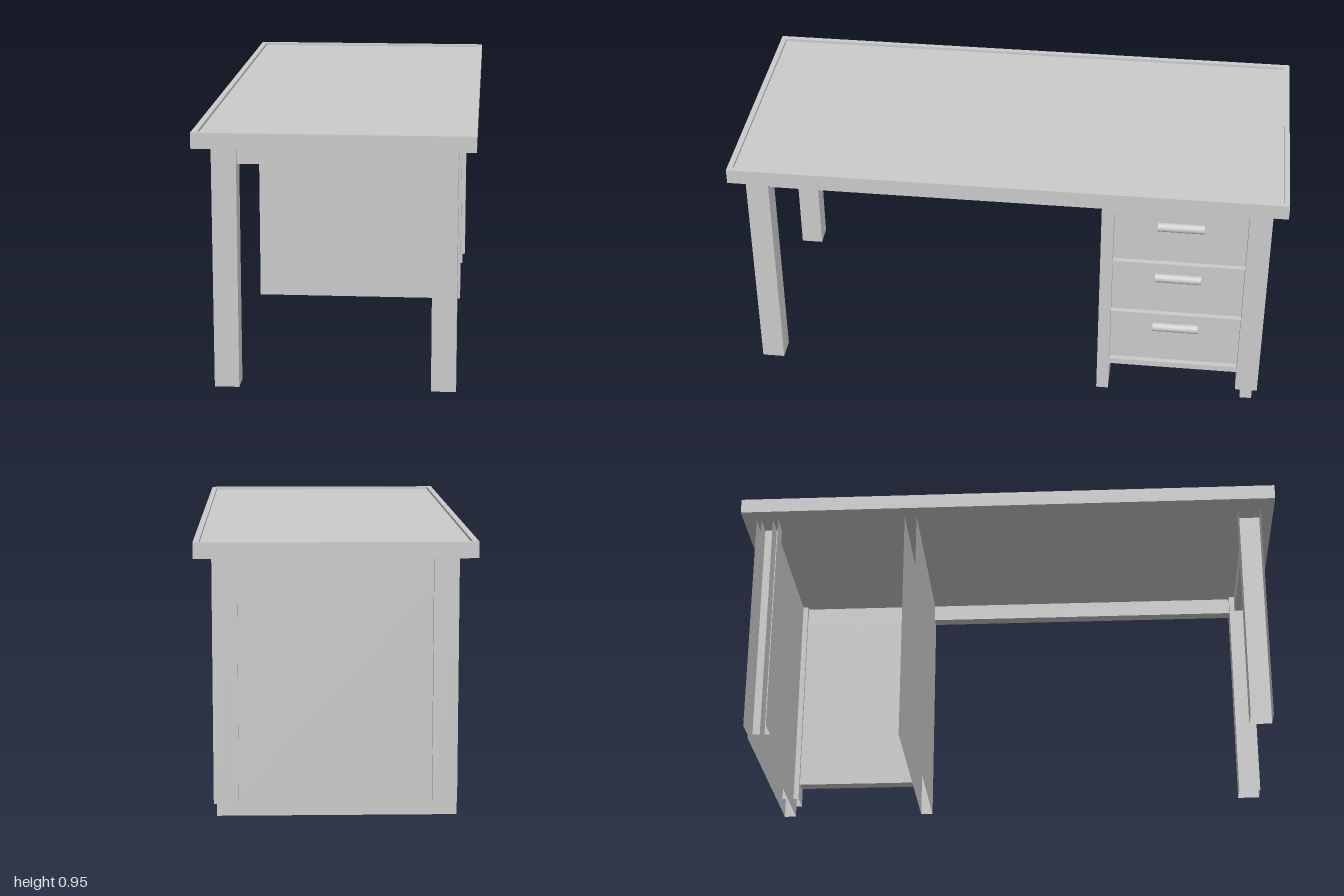
import * as THREE from 'three';

export function createModel() {
  const desk = new THREE.Group();
  desk.name = 'desk';
  const mat = new THREE.MeshStandardMaterial({ color: 0xcccccc, side: THREE.DoubleSide, flatShading: true });
  const smooth = new THREE.MeshStandardMaterial({ color: 0xcccccc });

  // Box from its limits; "open" lists faces left out (0 +x, 1 -x, 2 +y, 3 -y, 4 +z, 5 -z)
  function box(name, [x0, x1], [y0, y1], [z0, z1], open = []) {
    const g = new THREE.BoxGeometry(x1 - x0, y1 - y0, z1 - z0);
    const index = Array.from(g.index.array).filter((_, i) => !open.includes(Math.floor(i / 6)));
    g.setIndex(index);
    g.clearGroups();
    const m = new THREE.Mesh(g, mat);
    m.name = name;
    m.position.set((x0 + x1) / 2, (y0 + y1) / 2, (z0 + z1) / 2);
    desk.add(m);
    return m;
  }

  // Table top: raised rim around a slightly sunken surface
  const rect = (target, w, d) => target.moveTo(-w, -d).lineTo(w, -d).lineTo(w, d).lineTo(-w, d).closePath();
  const rimShape = rect(new THREE.Shape(), 0.475, 1);
  rimShape.holes.push(rect(new THREE.Path(), 0.455, 0.98));
  const rimGeo = new THREE.ExtrudeGeometry(rimShape, { depth: 0.055, bevelEnabled: false });
  rimGeo.rotateX(-Math.PI / 2);
  const rim = new THREE.Mesh(rimGeo, mat);
  rim.name = 'tableTopRim';
  rim.position.y = 0.893;
  desk.add(rim);
  box('tableTop', [-0.455, 0.455], [0.893, 0.938], [-0.98, 0.98]);

  // Four hollow legs, open underneath; the wall side (-x) is open too
  for (const z of [[0.868, 0.95], [-0.95, -0.868]]) {
    box('leg', [0.33, 0.415], [0.047, 0.893], z, [2, 3]);
    box('leg', [-0.415, -0.33], [0.047, 0.893], z, [1, 2, 3]);
  }

  // Full-height panels on either side of the drawers
  box('innerPanel', [-0.415, 0.405], [0, 0.893], [-0.387, -0.342], [1, 2, 3]);
  box('endPanel', [-0.415, 0.405], [0, 0.893], [-0.932, -0.888], [1, 2, 3]);

  // Rails under the top
  box('sideRail', [0.35, 0.395], [0.83, 0.893], [-0.868, 0.868]);
  box('endRail', [-0.33, 0.33], [0.83, 0.893], [0.888, 0.932]);

  // Drawer fronts, each with a bar handle, separated by projecting dividers
  const zIn = [-0.868, -0.387];
  const dividers = [[0.81, 0.83], [0.58, 0.598], [0.345, 0.365], [0.112, 0.135]];
  dividers.forEach((y) => box('drawerDivider', [0.345, 0.392], y, zIn));
  for (let i = 0; i < 3; i++) {
    const top = dividers[i][0];
    box('drawerFront', [0.345, 0.372], [dividers[i + 1][1], top], zIn);
    const handle = new THREE.Mesh(new THREE.CylinderGeometry(0.017, 0.017, 0.168, 20), smooth);
    handle.name = 'drawerHandle';
    handle.rotation.x = Math.PI / 2;
    handle.position.set(0.388, 0.762 - i * 0.23, -0.628);
    desk.add(handle);
  }

  return desk;
}
